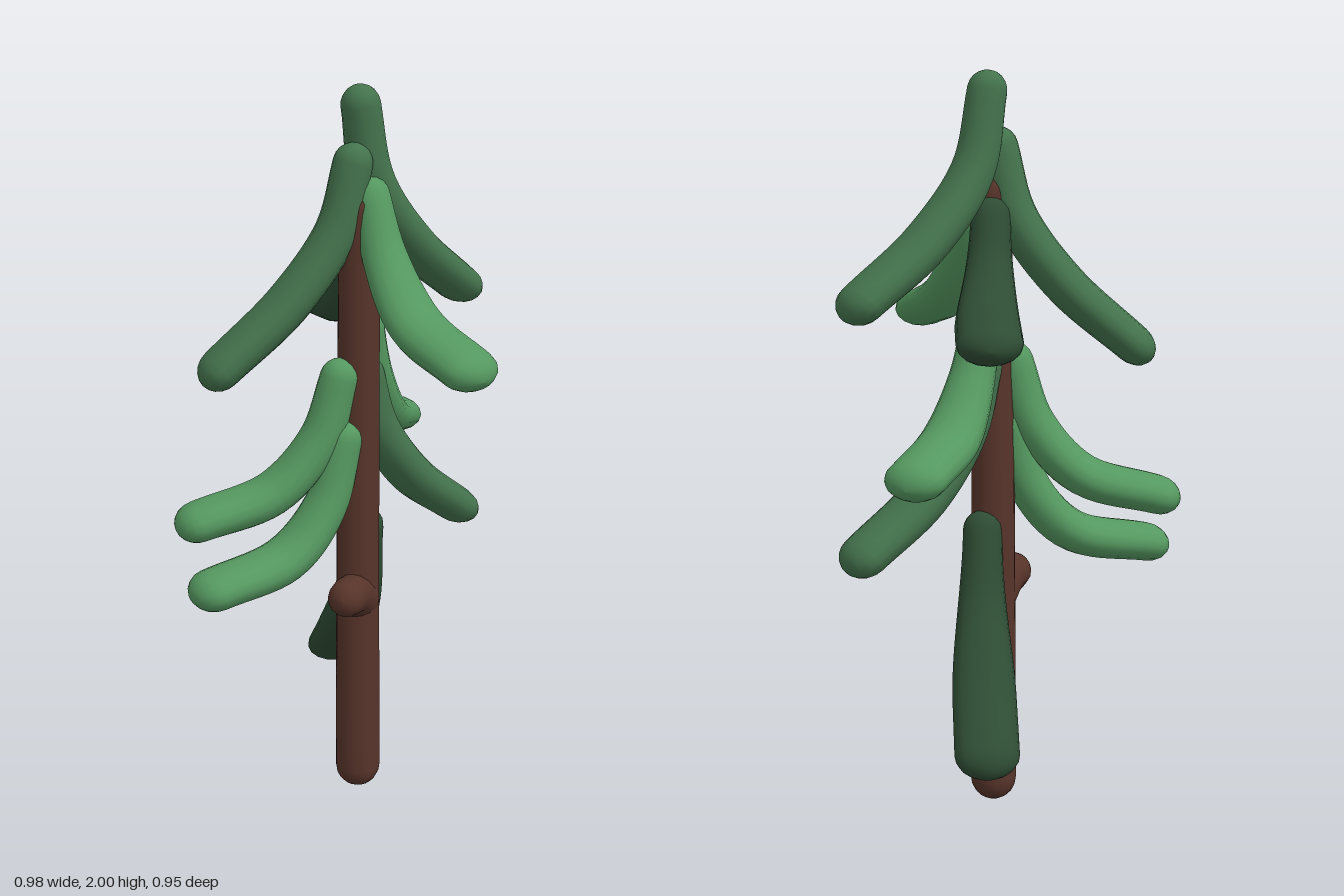
import * as THREE from 'three';

const SIDES = 16, STEPS = 22, CAP = 5;
const material = (color) => new THREE.MeshStandardMaterial({ color, roughness: 0.9 });

// Closed rounded sweep: elliptical rings along a curve, with a domed cap at both ends.
// width(t) is the horizontal half-width, thick(t) the half-thickness.
function limbGeometry(points, width, thick, capEnd) {
  const curve = new THREE.CatmullRomCurve3(points.map((p) => new THREE.Vector3(...p)));
  const first = points[0], last = points[points.length - 1];
  const side = new THREE.Vector3(last[2] - first[2], 0, first[0] - last[0]);
  if (side.length() < 1e-4) side.set(1, 0, 0);
  side.normalize();

  // stations: [curve parameter, shift along the tangent, ring scale]
  const stations = [];
  for (let i = 0; i < CAP; i++) {
    const a = (i / CAP) * Math.PI / 2;
    stations.push([0, -thick(0) * Math.cos(a), Math.sin(a)]);
  }
  for (let i = 0; i <= STEPS; i++) stations.push([i / STEPS, 0, 1]);
  for (let i = CAP - 1; i >= 0; i--) {
    const a = (i / CAP) * Math.PI / 2;
    stations.push([1, capEnd * Math.cos(a), Math.sin(a)]);
  }

  const pos = [], index = [];
  for (const [t, shift, scale] of stations) {
    const tangent = curve.getTangentAt(t);
    const across = side.clone().addScaledVector(tangent, -side.dot(tangent)).normalize();
    const up = new THREE.Vector3().crossVectors(tangent, across);
    const centre = curve.getPointAt(t).addScaledVector(tangent, shift);
    const s = Math.max(scale, 0.001);
    for (let k = 0; k < SIDES; k++) {
      const a = (k / SIDES) * Math.PI * 2;
      const v = centre.clone()
        .addScaledVector(across, Math.cos(a) * width(t) * s)
        .addScaledVector(up, Math.sin(a) * thick(t) * s);
      pos.push(v.x, v.y, v.z);
    }
  }
  for (let r = 0; r < stations.length - 1; r++) {
    for (let k = 0; k < SIDES; k++) {
      const n = (k + 1) % SIDES;
      const a = r * SIDES + k, b = r * SIDES + n, c = a + SIDES, d = b + SIDES;
      index.push(a, b, c, b, d, c);
    }
  }
  const g = new THREE.BufferGeometry();
  g.setAttribute('position', new THREE.Float32BufferAttribute(pos, 3));
  g.setIndex(index);
  g.computeVertexNormals();
  return g;
}

export function createModel() {
  const tree = new THREE.Group();
  tree.name = 'tree';
  const add = (name, geometry, mat, parent = tree) => {
    const mesh = new THREE.Mesh(geometry, mat);
    mesh.name = name;
    parent.add(mesh);
  };

  const bark = material(0x57342a);
  const light = material(0x559860);
  const mid = material(0x44734d);
  const dark = material(0x2e4c34);

  // Trunk with rounded ends
  const trunkR = (t) => 0.063 - 0.008 * t;
  add('trunk', limbGeometry([[0.024, 0.065, -0.025], [0.025, 0.9, -0.025], [0.03, 1.68, -0.025]],
    trunkR, trunkR, 0.055), bark);

  // Short cut-off stub on the trunk
  const stubR = (t) => 0.062 - 0.01 * t;
  add('stub', limbGeometry([[0.02, 0.585, -0.02], [-0.03, 0.617, 0.017], [-0.075, 0.627, 0.048]],
    stubR, stubR, 0.05), bark);

  // Drooping boughs, narrow at the trunk and broad toward the tip
  const boughs = new THREE.Group();
  boughs.name = 'boughs';
  tree.add(boughs);
  const width = (t) => 0.053 + 0.031 * THREE.MathUtils.smoothstep(t, 0, 0.75);
  const thick = (t) => 0.053 + 0.005 * Math.sin(Math.PI * t);
  const specs = [
    ['topBough', mid, [[0.055, 1.945, -0.05], [0.1, 1.74, -0.055], [0.24, 1.56, -0.065], [0.43, 1.415, -0.078]]],
    ['upperRightBough', mid, [[0.012, 1.8, -0.03], [-0.03, 1.62, -0.05], [-0.15, 1.44, -0.1], [-0.325, 1.275, -0.17]]],
    ['upperFrontBough', light, [[0.055, 1.71, -0.01], [0.05, 1.55, 0.06], [0.035, 1.405, 0.2], [0.022, 1.335, 0.41]]],
    ['upperBackBough', dark, [[0.05, 1.62, -0.06], [0.08, 1.49, -0.11], [0.145, 1.38, -0.225], [0.235, 1.335, -0.41]]],
    ['middleBackLeftBough', light, [[0.075, 1.35, -0.055], [0.125, 1.19, -0.09], [0.22, 1.06, -0.165], [0.38, 0.99, -0.29]]],
    ['middleLeftBough', mid, [[0.07, 1.22, -0.05], [0.12, 1.06, -0.055], [0.25, 0.89, -0.065], [0.43, 0.755, -0.075]]],
    ['middleBackRightBough', light, [[-0.035, 1.23, -0.03], [-0.085, 1.06, -0.055], [-0.2, 0.92, -0.11], [-0.395, 0.858, -0.19]]],
    ['middleRightBough', light, [[-0.03, 1.06, -0.02], [-0.085, 0.88, -0.03], [-0.205, 0.75, -0.05], [-0.425, 0.7, -0.085]]],
    ['lowerBackBough', dark, [[0.07, 0.78, -0.05], [0.1, 0.595, -0.105], [0.155, 0.43, -0.22], [0.225, 0.27, -0.375]]],
  ];
  for (const [name, mat, points] of specs) {
    add(name, limbGeometry(points, width, thick, 0.065), mat, boughs);
  }
  return tree;
}
